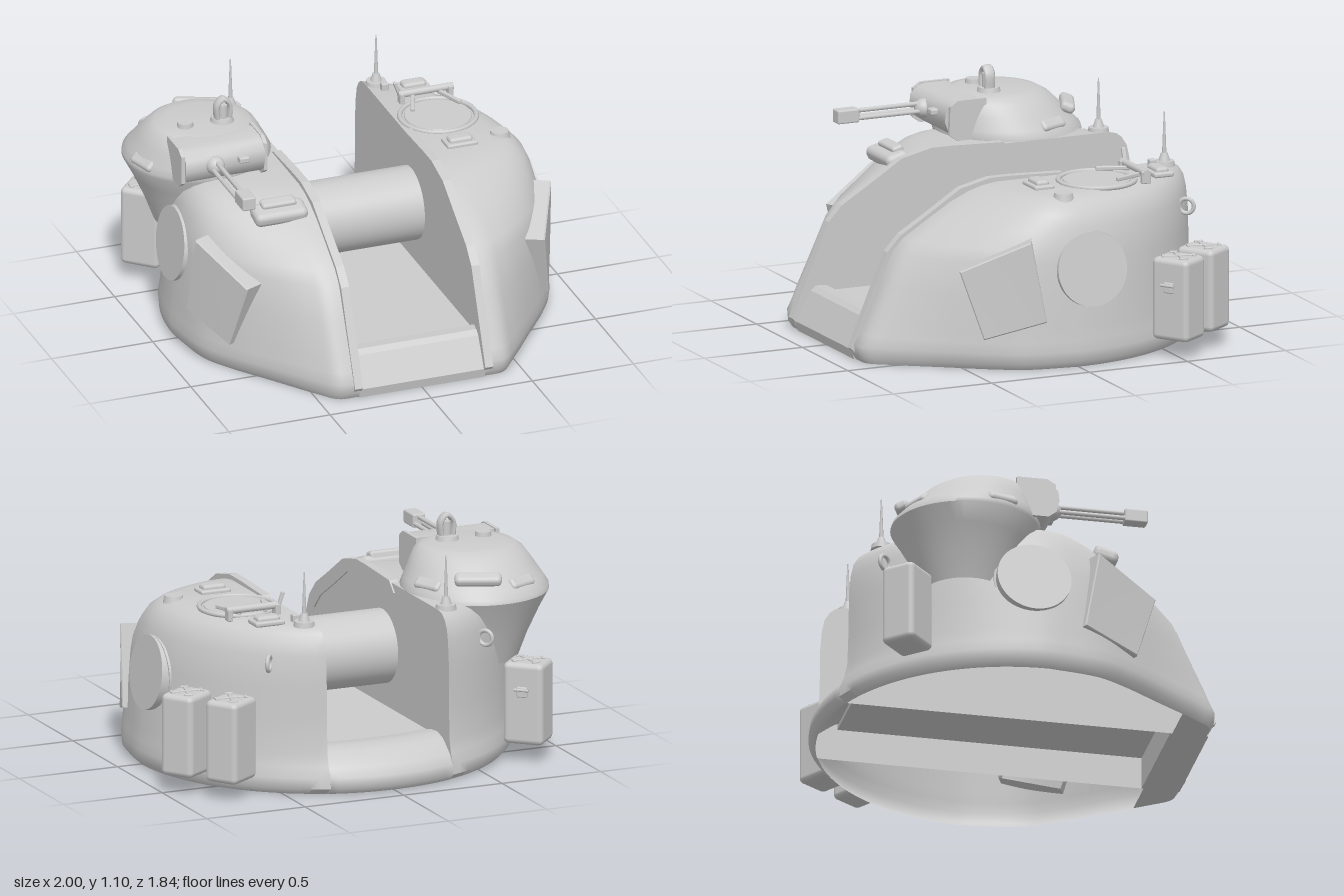
import * as THREE from 'three';
import { toCreasedNormals } from 'three/addons/utils/BufferGeometryUtils.js';
import { RoundedBoxGeometry } from 'three/addons/geometries/RoundedBoxGeometry.js';

const mat = new THREE.MeshStandardMaterial({ color: 0xcccccc });
const thin = new THREE.MeshStandardMaterial({ color: 0xcccccc, side: THREE.DoubleSide });
const V = (x, y, z) => new THREE.Vector3(x, y, z);

function add(parent, name, geo, x = 0, y = 0, z = 0, material = mat) {
  const m = new THREE.Mesh(geo, material);
  m.name = name;
  m.position.set(x, y, z);
  parent.add(m);
  return m;
}
const box = (w, h, d, r = 0.012) => new RoundedBoxGeometry(w, h, d, 2, r);
const cyl = (r0, r1, h, n = 24) => new THREE.CylinderGeometry(r0, r1, h, n);

// Skins a list of equal-length rows of points; optionally closes the rows and caps the last one.
function loft(rows, { closed = false, cap = false, flip = false, crease = 0.9 } = {}) {
  const n = rows[0].length, pos = rows.flat().flatMap(p => [p.x, p.y, p.z]), idx = [];
  const tri = (a, b, c) => (flip ? idx.push(a, c, b) : idx.push(a, b, c));
  for (let j = 0; j < rows.length - 1; j++)
    for (let i = 0; i < (closed ? n : n - 1); i++) {
      const a = j * n + i, b = j * n + (i + 1) % n;
      tri(a, b, b + n);
      tri(a, b + n, a + n);
    }
  if (cap) {
    const last = rows[rows.length - 1], c = V(0, 0, 0);
    last.forEach(p => c.addScaledVector(p, 1 / n));
    pos.push(c.x, c.y, c.z);
    const o = (rows.length - 1) * n;
    for (let i = 0; i < n; i++) tri(o + i, o + (i + 1) % n, rows.length * n);
  }
  const g = new THREE.BufferGeometry();
  g.setAttribute('position', new THREE.Float32BufferAttribute(pos, 3));
  g.setIndex(idx);
  return toCreasedNormals(g, crease);
}

// Side pod levels: height, front reach, half width, rear reach
const GAP = 0.31;
const LEVELS = [
  [0, 0.87, 0.88, 0.89], [0.03, 0.89, 0.905, 0.925], [0.08, 0.895, 0.91, 0.92], [0.13, 0.87, 0.905, 0.9],
  [0.19, 0.845, 0.9, 0.885], [0.35, 0.77, 0.89, 0.88], [0.5, 0.7, 0.875, 0.88], [0.56, 0.645, 0.867, 0.88],
  [0.65, 0.5, 0.845, 0.875], [0.71, 0.4, 0.82, 0.865], [0.75, 0.31, 0.78, 0.845], [0.77, 0.24, 0.74, 0.825],
  [0.78, 0.17, 0.69, 0.79],
];
const FRONT = new THREE.CatmullRomCurve3(
  [[0, 1], [0.17, 0.99], [0.3, 0.89], [0.55, 0.66], [0.8, 0.43], [0.93, 0.27], [1, 0]].map(p => V(p[0], 0, p[1])));

// Straight-sided nose near the base, rounder toward the roof
function podOutline([y, zf, w, rz], s) {
  const pts = FRONT.getPoints(28).map(p => {
    const round = Math.sqrt(Math.max(0, 1 - p.x * p.x));
    return V(s * (GAP + (w - GAP) * p.x), y, zf * THREE.MathUtils.lerp(p.z, round, y));
  });
  const end = Math.acos(GAP / w);
  for (let i = 1; i <= 24; i++) {
    const a = end * i / 24;
    pts.push(V(s * w * Math.cos(a), y, -rz * Math.sin(a)));
  }
  return pts;
}

// Extrudes a (z, y) outline across x
function sideExtrude(points, x0, width) {
  const shape = new THREE.Shape(points.map(p => new THREE.Vector2(...p)));
  return new THREE.ExtrudeGeometry(shape, { depth: width, bevelEnabled: false })
    .rotateY(-Math.PI / 2).translate(x0 + width, 0, 0);
}

// Sloping four-cornered armour plate, sunk into the pod
function plateGeometry(s) {
  const face = [V(s * 0.88, 0.615, 0.24), V(s * 0.735, 0.473, 0.54), V(s * 0.79, 0.15, 0.44), V(s * 0.9, 0.23, 0.17)];
  const n = face[0].clone().sub(face[2]).cross(face[1].clone().sub(face[3])).normalize();
  if (n.x * s < 0) n.negate();
  const bevel = face.map(p => p.clone().addScaledVector(n, -0.006));
  const back = face.map(p => p.clone().addScaledVector(n, -0.09));
  const mid = face.reduce((c, p) => c.addScaledVector(p, 0.25), V(0, 0, 0));
  return loft([back, bevel, face.map(p => p.clone().lerp(mid, 0.03))], { closed: true, cap: true, flip: s < 0, crease: 0.3 });
}

function buildHull(root) {
  const hull = new THREE.Group();
  hull.name = 'hull';
  root.add(hull);
  const ridge = [[0.91, 0.06], [0.725, 0.5], [0.655, 0.575], [0.5, 0.67], [0.35, 0.765], [0.2, 0.8], [0.1, 0.8], [-0.17, 0.79]];
  const inner = ridge.map(([z, y]) => [z - 0.05, y - 0.05]).reverse();
  for (const s of [1, -1]) {
    add(hull, 'sidePod', loft(LEVELS.map(l => podOutline(l, s)), { closed: true, cap: true, flip: s < 0 }), 0, 0, 0, thin);
    add(hull, 'innerEdgeArmor', sideExtrude([...ridge, ...inner], s > 0 ? 0.302 : -0.342, 0.04));
    const disc = add(hull, 'trunnionDisc', cyl(0.175, 0.175, 0.06, 48).rotateZ(Math.PI / 2), s * 0.858, 0.455, -0.07);
    disc.rotation.z = s * 0.14;
    add(hull, 'armorPlate', plateGeometry(s), 0, 0, 0, thin);
    const eye = add(hull, 'liftingEye', new THREE.TorusGeometry(0.035, 0.01, 8, 20), s * 0.55, 0.62, -0.705);
    eye.rotation.y = s * 0.91;
  }
  // Rear lip between the pods
  const lip = [[0, 0.89], [0.03, 0.925], [0.08, 0.92], [0.12, 0.89], [0.155, 0.84], [0.18, 0.8], [0.195, 0.74], [0.19, 0.67], [0.175, 0.6]];
  add(hull, 'rearLip', loft(lip.map(([y, r]) => Array.from({ length: 17 }, (_, i) => {
    const x = GAP * (i / 8 - 1);
    return V(x, y, -r * Math.sqrt(1 - (x / 0.91) ** 2));
  })), { crease: 1 }), 0, 0, 0, thin);
  // Floor with the raised front sill
  add(hull, 'floor', sideExtrude([[0.88, 0], [0.89, 0.045], [0.815, 0.185], [0.79, 0.205], [0.73, 0.2], [0.7, 0.175],
    [-0.74, 0.175], [-0.74, 0.155], [0.7, 0.155], [0.7, 0]], -GAP, 2 * GAP));
  add(hull, 'crossTube', cyl(0.175, 0.175, 1.7, 48).rotateZ(Math.PI / 2), 0, 0.455, -0.08);
  // Bottom plate under the nose, cut straight at the back
  const nose = s => podOutline(LEVELS[0], s).filter(p => p.z >= 0.7);
  const plate = new THREE.Shape([...nose(1), ...nose(-1).reverse()].map(p => new THREE.Vector2(p.x, -p.z)));
  add(hull, 'nosePlate', new THREE.ShapeGeometry(plate).rotateX(-Math.PI / 2), 0, 0, 0, thin);
}

function buildCupola(root) {
  const g = new THREE.Group();
  g.name = 'gunCupola';
  g.position.set(-0.655, 0, -0.35);
  root.add(g);
  const profile = [[0.2, 0.44], [0.245, 0.56], [0.3, 0.68], [0.345, 0.765], [0.345, 0.785], [0.325, 0.82], [0.29, 0.88],
    [0.255, 0.935], [0.22, 0.96], [0.17, 0.968], [0, 0.97]].map(p => new THREE.Vector2(...p));
  const geo = new THREE.LatheGeometry(profile, 56);
  // Lean the crown toward the front
  const p = geo.attributes.position;
  for (let i = 0; i < p.count; i++) p.setZ(i, p.getZ(i) + Math.max(0, p.getY(i) - 0.77) * 0.4);
  add(g, 'cupolaShell', toCreasedNormals(geo, 0.6), 0, 0, 0, thin);

  // Mantlet with a rounded nose between two cheeks
  const nose = [[0.22, 0.965], [0.33, 0.965], [0.365, 0.955], [0.4, 0.92], [0.405, 0.87], [0.385, 0.82], [0.34, 0.79], [0.22, 0.79]];
  add(g, 'mantlet', toCreasedNormals(sideExtrude(nose, -0.2, 0.39), 0.7));
  const cheek = [[0.2, 0.97], [0.345, 0.97], [0.385, 0.945], [0.39, 0.81], [0.35, 0.78], [0.2, 0.78]];
  for (const x of [-0.217, 0.19]) add(g, 'mantletCheek', sideExtrude(cheek, x, 0.018));
  add(g, 'gunBall', new THREE.SphereGeometry(0.045, 24, 12), -0.055, 0.885, 0.4);
  for (const [x, y] of [[0, 0.018], [-0.02, -0.014], [0.02, -0.014]])
    add(g, 'gunBarrel', cyl(0.011, 0.011, 0.4, 10).rotateX(Math.PI / 2), -0.055 + x, 0.89 + y, 0.58);
  add(g, 'gunMuzzle', box(0.065, 0.065, 0.11, 0.008), -0.055, 0.89, 0.795);
  add(g, 'gunSight', box(0.05, 0.03, 0.06, 0.008), 0.08, 0.9, 0.405);
  // Roof fittings
  add(g, 'roofCap', cyl(0.036, 0.04, 0.03), -0.1, 0.975, 0.125);
  add(g, 'sightBase', cyl(0.05, 0.058, 0.03), 0.08, 0.975, 0.13);
  const hoop = new THREE.CatmullRomCurve3([V(-0.03, 0, 0), V(-0.03, 0.075, 0), V(0, 0.105, 0), V(0.03, 0.075, 0), V(0.03, 0, 0)]);
  add(g, 'sightHoop', new THREE.TubeGeometry(hoop, 24, 0.012, 8).scale(1, 1, 2.3), 0.08, 0.98, 0.14);
  add(g, 'sightLens', cyl(0.022, 0.022, 0.08, 16), 0.08, 1.015, 0.14);
  // Vision blocks around the rear slope: bearing, height, distance
  for (const [a, y, r] of [[-1.85, 0.81, 0.312], [-0.42, 0.835, 0.3], [1.15, 0.83, 0.305]]) {
    const b = add(g, 'visionBlock', box(0.15, 0.04, 0.06, 0.018), Math.sin(a) * r, y, -Math.cos(a) * r + 0.025);
    b.rotation.set(-0.8, -a, 0, 'YXZ');
  }
  const hatch = add(g, 'rearHatchRoll', box(0.22, 0.05, 0.07, 0.022), 0.1, 0.875, -0.26);
  hatch.rotation.set(-0.4, -0.4, 0, 'YXZ');
}

function buildCanister(root, x, z, turn, claspSide) {
  const g = new THREE.Group();
  g.name = 'fuelCanister';
  g.position.set(x, 0.28, z);
  g.rotation.y = turn;
  root.add(g);
  add(g, 'canisterBody', box(0.195, 0.39, 0.17, 0.026));
  for (const a of [0.7, -0.7]) {
    add(g, 'topBrace', box(0.15, 0.014, 0.014, 0.004), 0, 0.195, 0).rotation.y = a;
    for (const s of [1, -1])
      add(g, 'braceEnd', box(0.014, 0.016, 0.04, 0.004), s * 0.055, 0.195, -s * 0.046 * Math.sign(a)).rotation.y = a;
  }
  const clasp = add(g, 'sideClasp', box(0.05, 0.05, 0.018, 0.006), 0, 0.06, claspSide * 0.088);
  add(clasp, 'claspPin', cyl(0.007, 0.007, 0.07, 8).rotateZ(Math.PI / 2), 0, 0.012, claspSide * 0.012);
}

function buildRoofFittings(root) {
  for (const s of [1, -1]) {
    const g = new THREE.Group();
    g.name = 'antenna';
    g.position.set(s * 0.36, 0.775, -0.68);
    root.add(g);
    add(g, 'antennaBase', cyl(0.046, 0.05, 0.025), 0, 0.01, 0);
    add(g, 'antennaSocket', cyl(0.015, 0.028, 0.04, 16), 0, 0.04, 0);
    add(g, 'antennaRod', cyl(0.003, 0.011, 0.2, 8), 0, 0.155, 0);
  }
  // Round hatch with its hinge and periscopes
  const h = new THREE.Group();
  h.name = 'roofHatch';
  h.position.set(0.51, 0.782, -0.265);
  root.add(h);
  add(h, 'hatchRing', new THREE.TorusGeometry(0.178, 0.012, 8, 56).rotateX(Math.PI / 2));
  add(h, 'hatchLid', cyl(0.155, 0.16, 0.01, 48));
  add(h, 'hingeBar', cyl(0.017, 0.017, 0.27, 14).rotateZ(Math.PI / 2), 0.01, 0.04, -0.19);
  for (const s of [1, -1]) {
    add(h, 'hingeArm', box(0.02, 0.02, 0.16, 0.005), 0.01 + s * 0.09, 0.025, -0.12).rotation.y = s * 0.35;
    add(h, 'hingeMount', box(0.025, 0.06, 0.045, 0.006), 0.01 + s * 0.12, 0.02, -0.19);
  }
  add(h, 'hingeLever', box(0.015, 0.09, 0.02, 0.004), -0.125, 0.06, -0.2).rotation.z = 0.35;
  for (const z of [-0.58, 0.03]) {
    add(root, 'periscopeBase', box(0.15, 0.025, 0.1, 0.01), 0.505, 0.785, z);
    add(root, 'periscopeHead', box(0.115, 0.045, 0.065, 0.016), 0.505, 0.795, z);
  }
  add(root, 'ventKnob', cyl(0.042, 0.05, 0.035), 0.715, 0.775, 0);
  add(root, 'smallBracket', box(0.035, 0.04, 0.035, 0.006), 0.375, 0.795, -0.61);
  // Driver periscope on the front slope
  const d = add(root, 'driverPeriscope', box(0.26, 0.07, 0.12, 0.03), -0.5, 0.735, 0.33);
  d.rotation.x = 0.25;
  add(d, 'driverPeriscopeHood', box(0.17, 0.05, 0.06, 0.015), 0, 0.03, -0.025);
}

export function createModel() {
  const root = new THREE.Group();
  root.name = 'turret';
  buildHull(root);
  buildCupola(root);
  buildRoofFittings(root);
  buildCanister(root, 0.742, -0.702, 0.59, 1);
  buildCanister(root, 0.88, -0.51, 0.59, 1);
  buildCanister(root, -0.79, -0.652, -0.75, -1);
  return root;
}
